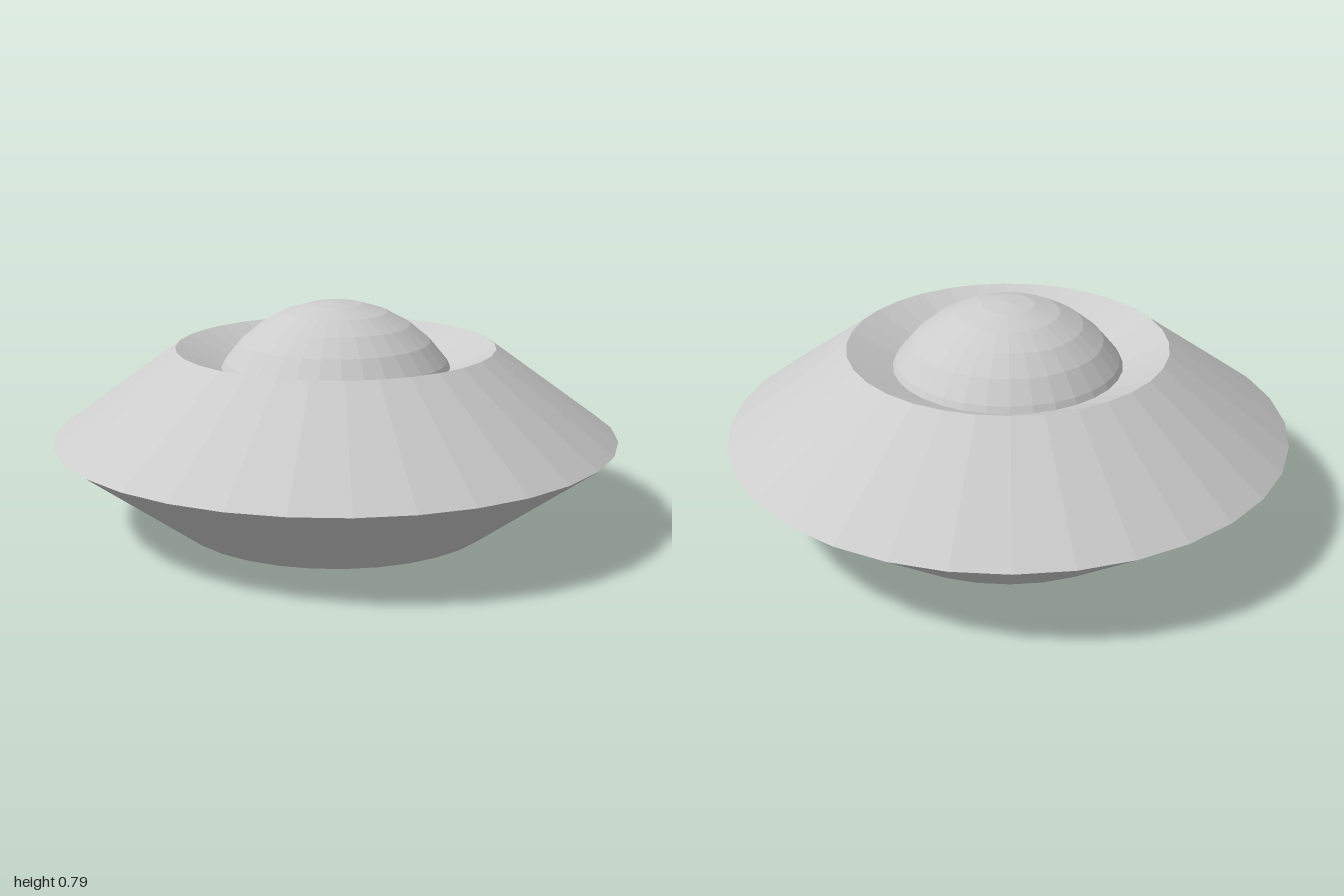
import * as THREE from 'three';

const SIDES = 32;
const MID = 0.317; // height of the rim, the plane of symmetry

export function createModel() {
  const model = new THREE.Group();
  model.name = 'saucer';
  const grey = new THREE.MeshStandardMaterial({ color: 0xcccccc, flatShading: true });
  grey.name = 'light grey';

  // Hull: sharp rim with a conical hollow above and below
  const profile = [[0, -0.053], [0.567, -MID], [1, 0], [0.567, MID], [0, 0.053]]
    .map(([r, y]) => new THREE.Vector2(r, y + MID));
  const hull = new THREE.Mesh(new THREE.LatheGeometry(profile, SIDES), grey);
  hull.name = 'hull';
  model.add(hull);

  // Dome: upper half of a sphere centred in the hull
  const dome = new THREE.Mesh(
    new THREE.SphereGeometry(0.475, SIDES, 8, 0, Math.PI * 2, 0, Math.PI / 2), grey);
  dome.name = 'dome';
  dome.position.y = MID;
  model.add(dome);

  return model;
}
